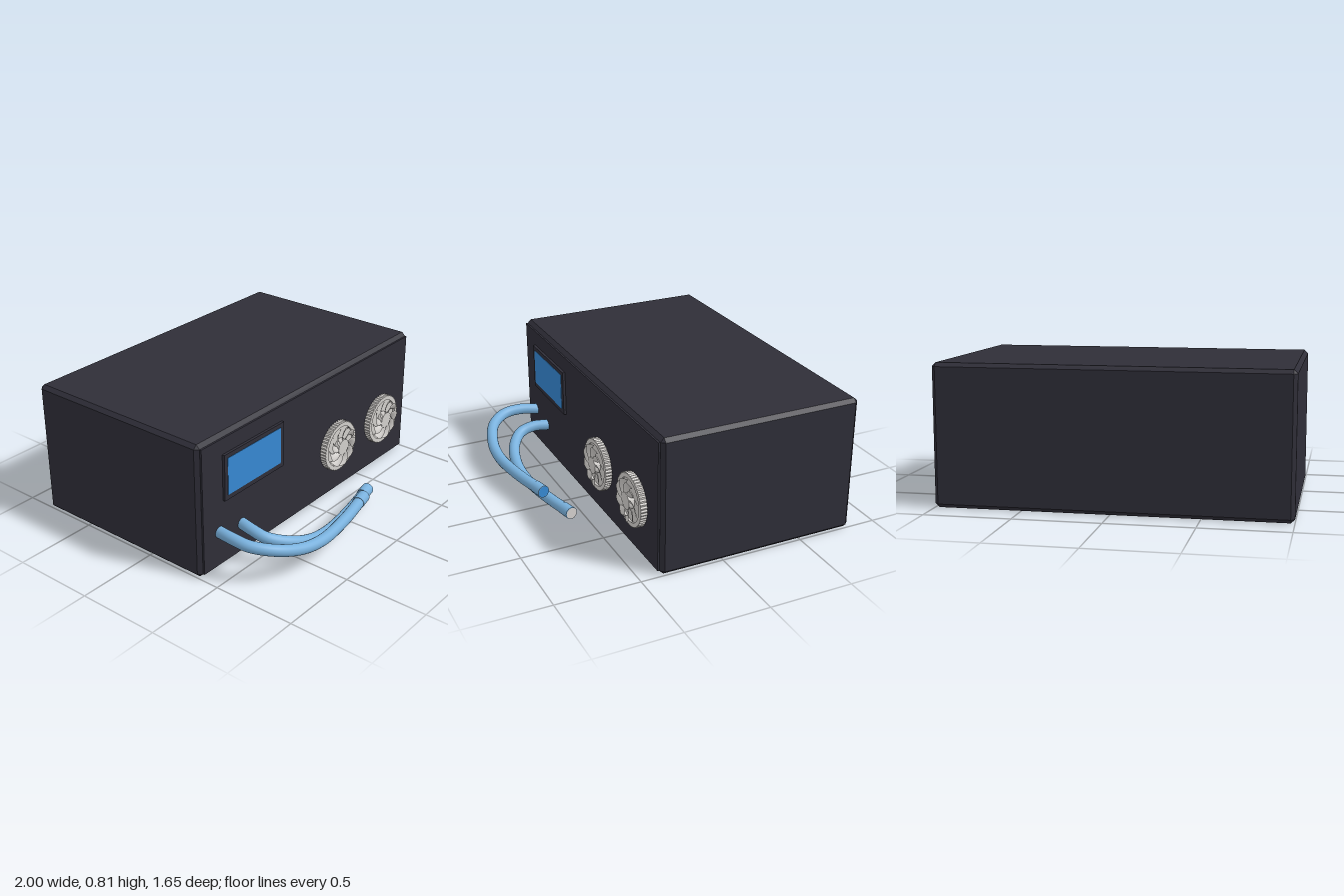
import * as THREE from 'three';
import { ConvexGeometry } from 'three/addons/geometries/ConvexGeometry.js';

const material = (name, color) => Object.assign(new THREE.MeshStandardMaterial({ color }), { name });
const mats = {
  casing: material('charcoal casing', 0x2f2e38),
  screen: material('screen blue', 0x3688d2),
  hose: material('hose blue', 0x78b0dc),
  fan: material('fan grey', 0xd2cfcc),
};
mats.fan.side = THREE.DoubleSide;

function add(parent, name, geometry, mat, x = 0, y = 0, z = 0) {
  const mesh = new THREE.Mesh(geometry, mat);
  mesh.name = name;
  mesh.position.set(x, y, z);
  parent.add(mesh);
  return mesh;
}

// Box with every edge chamfered by c
function chamferedBox(w, h, d, c) {
  const points = [];
  for (const sx of [-1, 1]) for (const sy of [-1, 1]) for (const sz of [-1, 1]) {
    const x = w / 2, y = h / 2, z = d / 2;
    points.push(
      new THREE.Vector3(sx * x, sy * (y - c), sz * (z - c)),
      new THREE.Vector3(sx * (x - c), sy * y, sz * (z - c)),
      new THREE.Vector3(sx * (x - c), sy * (y - c), sz * z));
  }
  return new ConvexGeometry(points);
}

// Pitched, swept fan blade: u runs outward, v runs across the blade
function bladeGeometry() {
  const g = new THREE.PlaneGeometry(1, 1, 6, 5);
  const p = g.attributes.position;
  for (let i = 0; i < p.count; i++) {
    const u = p.getX(i) + 0.5, v = p.getY(i) + 0.5;
    const r = 0.045 + 0.081 * u;
    const a = -0.55 * u * u + v * (0.5 + 0.1 * u);
    p.setXYZ(i, r * Math.cos(a), r * Math.sin(a), 0.002 + 0.02 * Math.sin(v * Math.PI / 2));
  }
  g.computeVertexNormals();
  return g;
}

function createFan(x, y) {
  const fan = new THREE.Group();
  fan.name = 'fan';
  fan.position.set(x, y, 0.43);

  // Knurled rim around a shallow dish
  const rim = new THREE.Shape();
  const teeth = 48;
  for (let i = 0; i < teeth * 2; i++) {
    const a = (i * Math.PI) / teeth, r = i % 2 ? 0.152 : 0.158;
    rim[i ? 'lineTo' : 'moveTo'](r * Math.cos(a), r * Math.sin(a));
  }
  rim.closePath();
  rim.holes.push(new THREE.Path().absarc(0, 0, 0.128, 0, Math.PI * 2, true));
  add(fan, 'fanRim', new THREE.ExtrudeGeometry(rim, { depth: 0.04, bevelEnabled: false, curveSegments: 24 }),
    mats.fan, 0, 0, -0.04);
  add(fan, 'fanBackplate', new THREE.CircleGeometry(0.13, 48), mats.fan, 0, 0, -0.012);

  const hub = add(fan, 'fanHub', new THREE.CylinderGeometry(0.05, 0.05, 0.034, 32), mats.fan, 0, 0, 0.004);
  hub.rotation.x = Math.PI / 2;

  const blade = bladeGeometry();
  for (let i = 0; i < 9; i++) {
    add(fan, 'fanBlade', blade, mats.fan).rotation.z = (i * Math.PI * 2) / 9;
  }
  return fan;
}

// Flexible hose with a slightly wider sleeve and a closed end
function createHose(points, capMaterial) {
  const hose = new THREE.Group();
  hose.name = 'hose';
  const curve = new THREE.CatmullRomCurve3(points.map((p) => new THREE.Vector3(...p)));
  add(hose, 'hoseTube', new THREE.TubeGeometry(curve, 64, 0.034, 20), mats.hose);

  const end = curve.getPointAt(1), dir = curve.getTangentAt(1);
  const sleeve = add(hose, 'hoseSleeve',
    new THREE.CylinderGeometry(0.037, 0.037, 0.085, 20, 1), mats.hose);
  sleeve.position.copy(end).addScaledVector(dir, -0.0425);
  sleeve.quaternion.setFromUnitVectors(new THREE.Vector3(0, 1, 0), dir);
  const cap = add(hose, 'hoseEnd', new THREE.CircleGeometry(0.034, 20), capMaterial);
  cap.position.copy(end).addScaledVector(dir, 0.002);
  cap.quaternion.setFromUnitVectors(new THREE.Vector3(0, 0, 1), dir);
  return hose;
}

export function createModel() {
  const model = new THREE.Group();
  model.name = 'coolingUnit';

  // Casing and raised front panel
  add(model, 'casing', chamferedBox(2, 0.815, 1.21, 0.022), mats.casing, 0, 0.4095, -0.225);
  add(model, 'frontPanel', new THREE.BoxGeometry(1.955, 0.77, 0.02), mats.casing, 0, 0.41, 0.381);

  // Display with a frame around it
  add(model, 'screenFrame', new THREE.BoxGeometry(0.51, 0.28, 0.02), mats.casing, -0.56, 0.56, 0.397);
  add(model, 'screen', new THREE.BoxGeometry(0.455, 0.225, 0.004), mats.screen, -0.5625, 0.5625, 0.4075);

  // Two fans on the front
  for (const x of [0.23, 0.695]) model.add(createFan(x, 0.33));

  // Two hoses looping out of the front
  model.add(createHose([
    [-0.845, 0.235, 0.38], [-0.868, 0.247, 0.5], [-0.86, 0.24, 0.61], [-0.775, 0.215, 0.715],
    [-0.62, 0.17, 0.775], [-0.45, 0.145, 0.79], [-0.2, 0.14, 0.762], [0.09, 0.146, 0.702],
  ], mats.screen));
  model.add(createHose([
    [-0.655, 0.2, 0.38], [-0.676, 0.2, 0.48], [-0.665, 0.18, 0.57], [-0.57, 0.14, 0.65],
    [-0.43, 0.095, 0.688], [-0.26, 0.07, 0.692], [0, 0.067, 0.66], [0.28, 0.075, 0.605],
  ], mats.fan));

  return model;
}
